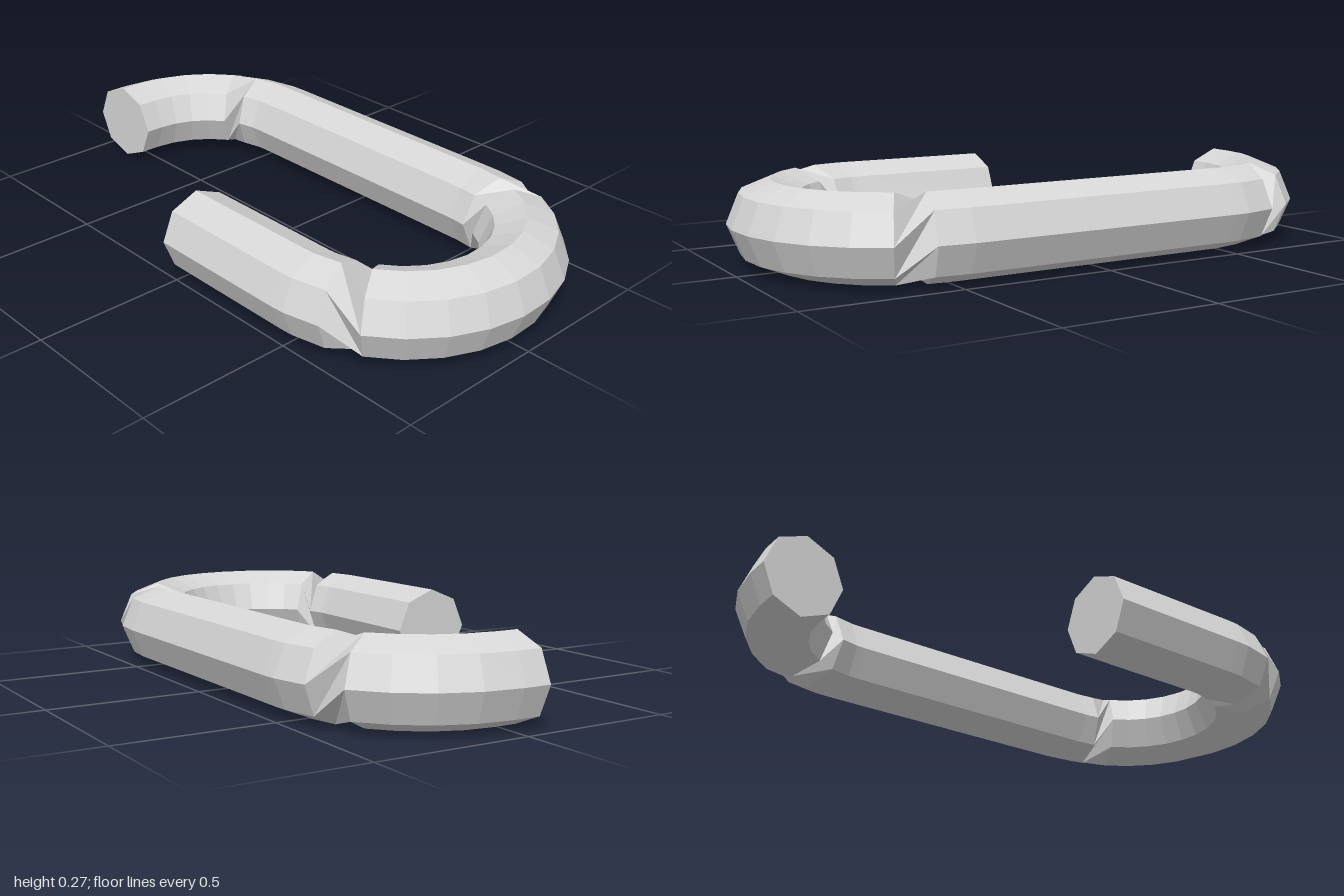
import * as THREE from 'three';

const SIDES = 8, TUBE = 0.135, BEND = 0.39, BEND_Z = 0.475;

// Cross-section stations along the hook: position and direction of travel
function makeStations() {
  const list = [];
  const add = (x, z, tx, tz) => list.push({
    p: new THREE.Vector3(x, TUBE, z),
    t: new THREE.Vector3(tx, 0, tz).normalize(),
  });
  const rad = THREE.MathUtils.degToRad;
  // short leg
  add(-BEND, -0.025, 0, 1);
  add(-BEND, BEND_Z, 0, 1);
  // full front bend
  for (let k = 0; k < 13; k++) {
    const a = rad(5.3 + 13.5 * k);
    add(-BEND * Math.cos(a), BEND_Z + BEND * Math.sin(a), Math.sin(a), Math.cos(a));
  }
  // long leg
  add(BEND, BEND_Z, 0, -1);
  add(BEND, -BEND_Z, 0, -1);
  // open back bend
  for (let k = 0; k < 7; k++) {
    const a = rad(5.8 + 13.8 * k);
    add(BEND * Math.cos(a), -BEND_Z - BEND * Math.sin(a), -Math.sin(a), -Math.cos(a));
  }
  add(-0.066, -0.866, -1, 0.061);
  return list;
}

// Octagonal ring; its frame turns a quarter between legs and bends, which creases the joints
function makeRing({ p, t }) {
  const ref = Math.abs(t.z) > 0.9 ? new THREE.Vector3(0, 1, 0) : new THREE.Vector3(0, 0, 1);
  const n = new THREE.Vector3().crossVectors(t, ref).normalize();
  const b = new THREE.Vector3().crossVectors(t, n);
  return Array.from({ length: SIDES }, (_, j) => {
    const a = (j / SIDES) * Math.PI * 2;
    return p.clone().addScaledVector(n, TUBE * Math.cos(a)).addScaledVector(b, TUBE * Math.sin(a));
  });
}

// Two triangles for a quad, split along its shorter diagonal
function quad(a, b, c, d) {
  return a.distanceTo(c) <= b.distanceTo(d) ? [a, b, c, a, c, d] : [a, b, d, b, c, d];
}

function facetedMesh(name, triangles, material) {
  const geometry = new THREE.BufferGeometry().setFromPoints(triangles);
  geometry.computeVertexNormals();
  const mesh = new THREE.Mesh(geometry, material);
  mesh.name = name;
  return mesh;
}

export function createModel() {
  const group = new THREE.Group();
  group.name = 'hook';
  const metal = new THREE.MeshStandardMaterial({ color: 0xd6d6d6, flatShading: true });
  metal.name = 'light grey metal';

  const stations = makeStations();
  const rings = stations.map(makeRing);
  const last = rings.length - 1;
  const rod = [], startCap = [], endCap = [];
  for (let j = 0; j < SIDES; j++) {
    const k = (j + 1) % SIDES;
    for (let i = 0; i < last; i++) {
      const A = rings[i], B = rings[i + 1];
      rod.push(...quad(A[j], A[k], B[k], B[j]));
    }
    startCap.push(stations[0].p, rings[0][k], rings[0][j]);
    endCap.push(stations[last].p, rings[last][j], rings[last][k]);
  }
  group.add(
    facetedMesh('bentRod', rod, metal),
    facetedMesh('shortLegCap', startCap, metal),
    facetedMesh('bendCap', endCap, metal),
  );
  return group;
}
